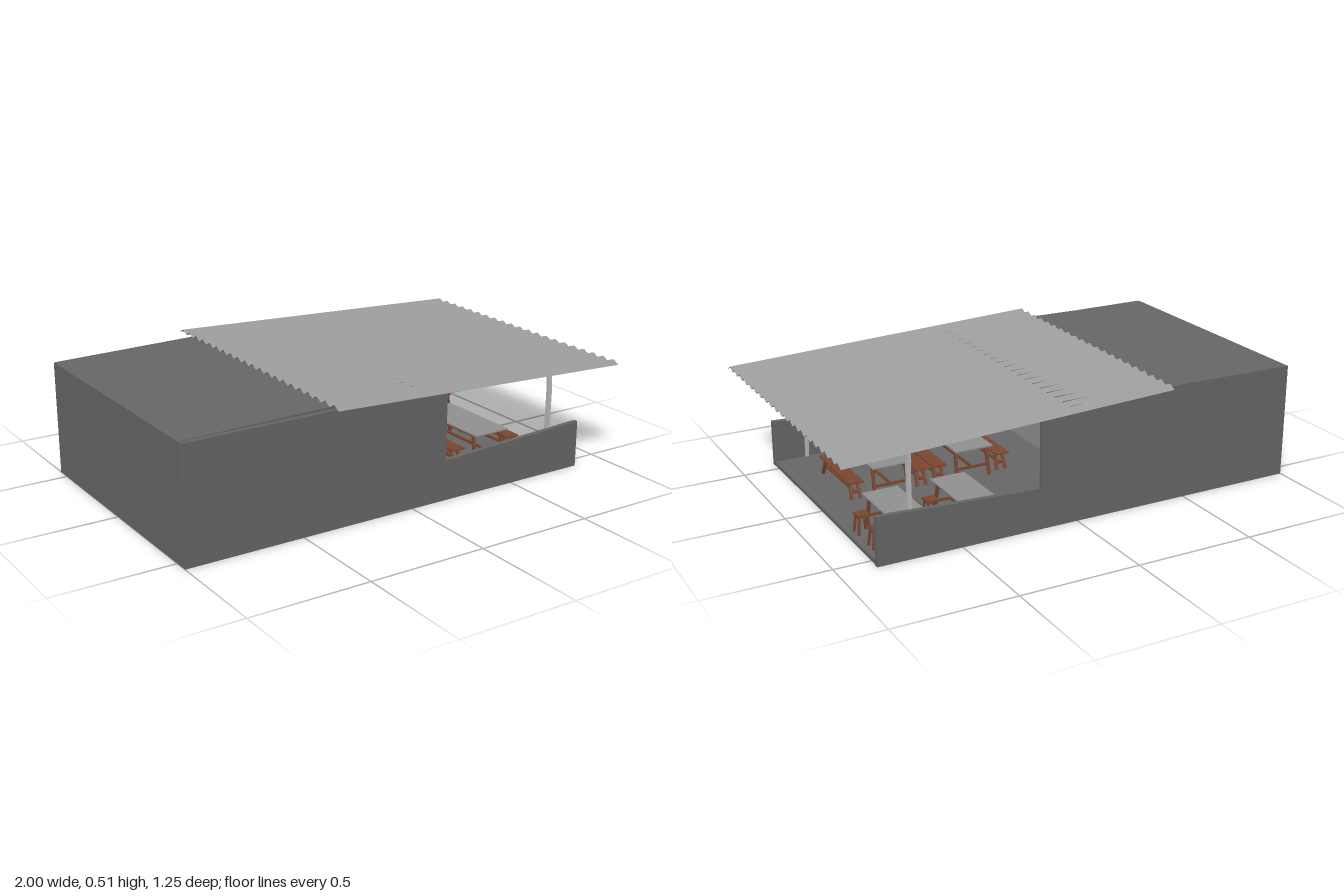
import * as THREE from 'three';

const mat = (name, color, side = THREE.FrontSide) => {
  const m = new THREE.MeshStandardMaterial({ color, side });
  m.name = name;
  return m;
};

export function createModel() {
  const root = new THREE.Group();
  root.name = 'openFrontDiner';
  const concrete = mat('concrete', 0x666666);
  const metal = mat('corrugatedMetal', 0x999999, THREE.DoubleSide);
  const paleStone = mat('paleStone', 0xb8b8b8);
  const counterGrey = mat('counterGrey', 0x909090);
  const wood = mat('wood', 0x7a4630);
  const glass = mat('blueGlass', 0xaacbdc);
  const green = mat('greenPanel', 0x5f9e30);

  const add = (name, geo, m, x = 0, y = 0, z = 0, parent = root) => {
    const mesh = new THREE.Mesh(geo, m);
    mesh.name = name;
    mesh.position.set(x, y, z);
    parent.add(mesh);
    return mesh;
  };
  // Box given by its lower and upper corners
  const box = (name, m, x0, x1, y0, y1, z0, z1, parent) =>
    add(name, new THREE.BoxGeometry(x1 - x0, y1 - y0, z1 - z0), m,
      (x0 + x1) / 2, (y0 + y1) / 2, (z0 + z1) / 2, parent);
  const extrude = (pts, depth) => new THREE.ExtrudeGeometry(
    new THREE.Shape(pts.map(p => new THREE.Vector2(...p))), { depth, bevelEnabled: false });
  // Square bar between two points
  const bar = (name, m, a, b, w, parent) => {
    const p = new THREE.Vector3(...a), q = new THREE.Vector3(...b);
    const mesh = add(name, new THREE.BoxGeometry(w, p.distanceTo(q), w), m, 0, 0, 0, parent);
    mesh.position.copy(p).add(q).multiplyScalar(0.5);
    mesh.quaternion.setFromUnitVectors(new THREE.Vector3(0, 1, 0), q.sub(p).normalize());
    return mesh;
  };

  // Side walls: tall at the rear, low around the dining area
  const outline = [[-1, 0], [0.85, 0], [0.85, 0.2], [0.16, 0.17], [0.16, 0.478], [-1, 0.478]];
  add('frontWall', extrude(outline, 0.02), concrete, 0, 0, 0.54);
  add('backWall', extrude(outline, 0.02), concrete, 0, 0, -0.56);
  box('endWall', concrete, -1, -0.985, 0, 0.478, -0.54, 0.54);

  // L-shaped floor, open below the kitchen
  const floor = extrude([[-0.999, 0.559], [-0.999, -0.01], [-0.22, -0.01], [-0.22, -0.559],
    [0.848, -0.559], [0.848, 0.559]], 0.016);
  floor.rotateX(-Math.PI / 2);
  add('floor', floor, concrete, 0, 0.001, 0);

  // Gently crowned roof slab
  add('roofSlab', extrude([[-1, 0.465], [0.04, 0.465], [0.04, 0.484], [-0.26, 0.49], [-1, 0.48]], 1.1),
    concrete, 0, 0, -0.56);

  // Inner partitions
  box('innerWall', concrete, -0.235, -0.22, 0.017, 0.466, -0.54, 0);
  box('kitchenSideWall', concrete, -0.985, -0.235, 0.017, 0.466, -0.005, 0.005);
  box('wallOverCounter', concrete, -0.42, -0.4, 0.28, 0.466, 0.005, 0.54);

  // Corrugated metal roof
  const pos = [], idx = [], folds = 42, half = 0.625;
  for (let i = 0; i <= folds; i++) {
    const z = -half + (2 * half * i) / folds, lift = (i % 2) * 0.017;
    pos.push(-0.39, 0.498 + lift, z, 1, 0.438 + lift, z);
    if (i) {
      const a = 2 * (i - 1);
      idx.push(a, a + 2, a + 3, a, a + 3, a + 1);
    }
  }
  let roof = new THREE.BufferGeometry();
  roof.setAttribute('position', new THREE.Float32BufferAttribute(pos, 3));
  roof.setIndex(idx);
  roof = roof.toNonIndexed();
  roof.computeVertexNormals();
  add('corrugatedRoof', roof, metal);

  // Slightly crooked posts
  const post = (name, x, z, w, lean, top) => {
    const g = new THREE.BoxGeometry(w * 0.8, top - 0.016, w, 1, 4, 1);
    const p = g.attributes.position;
    for (let i = 0; i < p.count; i++) {
      const t = p.getY(i) / (top - 0.016) + 0.5;
      p.setZ(i, p.getZ(i) + lean * (t - 0.5) + lean * 0.4 * Math.sin(t * 6));
    }
    g.computeVertexNormals();
    add(name, g, paleStone, x, (top + 0.016) / 2, z);
  };
  post('leftFrontPost', 0.705, 0.535, 0.018, -0.01, 0.455);
  post('leftBackPost', 0.705, -0.533, 0.018, -0.012, 0.455);
  post('middlePost', -0.17, -0.072, 0.036, 0.022, 0.466);

  // Service counter with display case
  box('counterFront', counterGrey, -0.235, -0.22, 0.017, 0.16, 0.005, 0.52);
  box('counterTop', counterGrey, -0.54, -0.2, 0.16, 0.17, -0.06, 0.535);
  box('displayCase', glass, -0.4, -0.27, 0.17, 0.278, 0.005, 0.53);
  box('displayCaseLid', counterGrey, -0.405, -0.265, 0.278, 0.284, 0, 0.535);
  box('largeCrate', wood, -0.26, -0.21, 0.17, 0.197, 0.43, 0.52);
  box('smallCrate', wood, -0.26, -0.21, 0.17, 0.192, 0.32, 0.4);
  const jar = new THREE.LatheGeometry([[0, 0], [0.027, 0], [0.027, 0.055], [0.016, 0.075], [0, 0.075]]
    .map(p => new THREE.Vector2(...p)), 8).toNonIndexed();
  jar.computeVertexNormals();
  add('waterJar', jar, glass, -0.235, 0.17, 0.01);
  bar('woodenPole', wood, [-0.23, 0.28, 0.01], [-0.23, 0.465, 0.026], 0.015);

  // Green wall panel with shutters
  box('greenPanel', green, -0.22, -0.212, 0.28, 0.38, -0.342, -0.187);
  for (const z of [-0.148, -0.382]) box('shutter', concrete, -0.22, -0.212, 0.277, 0.392, z - 0.022, z + 0.022);

  // Tables and benches on splayed legs, running along z
  const trestle = (name, x, z, w, len, h, topMat) => {
    const g = new THREE.Group();
    g.name = name;
    g.position.set(x, 0.017, z);
    root.add(g);
    box('top', topMat, -w / 2, w / 2, h - 0.006, h, -len / 2, len / 2, g);
    box('apron', wood, -w / 2 + 0.008, w / 2 - 0.008, h - 0.016, h - 0.006, -len / 2 + 0.03, len / 2 - 0.03, g);
    for (const s of [-1, 1]) {
      for (const t of [-1, 1]) {
        bar('leg', wood, [s * (w / 2 - 0.01), 0, t * (len / 2 - 0.012)],
          [s * (w / 2 - 0.015), h - 0.008, t * (len / 2 - 0.04)], 0.012, g);
      }
      box('crossRail', wood, -w / 2 + 0.012, w / 2 - 0.012, h * 0.3, h * 0.3 + 0.01,
        s * (len / 2 - 0.024) - 0.004, s * (len / 2 - 0.024) + 0.004, g);
    }
    box('stretcher', wood, -0.005, 0.005, h * 0.3, h * 0.3 + 0.01, -len / 2 + 0.02, len / 2 - 0.02, g);
  };
  for (const x of [0.18, 0.55]) {
    trestle('longTable', x, 0.17, 0.17, 0.4, 0.135, counterGrey);
    for (const s of [-1, 1]) trestle('bench', x + s * 0.145, 0.165, 0.06, 0.34, 0.078, wood);
  }

  // Small tables with stools
  const stool = (x, z) => {
    const g = new THREE.Group();
    g.name = 'stool';
    g.position.set(x, 0.017, z);
    root.add(g);
    box('seat', wood, -0.025, 0.025, 0.07, 0.08, -0.025, 0.025, g);
    for (const s of [-1, 1]) for (const t of [-1, 1]) {
      bar('leg', wood, [s * 0.024, 0, t * 0.024], [s * 0.017, 0.072, t * 0.017], 0.008, g);
    }
  };
  for (const x of [0.4, 0.69]) {
    trestle('smallTable', x, -0.36, 0.15, 0.27, 0.132, counterGrey);
    for (const s of [-1, 1]) for (const z of [-0.29, -0.43]) stool(x + s * 0.105, z);
    stool(x, -0.505);
  }
  return root;
}
